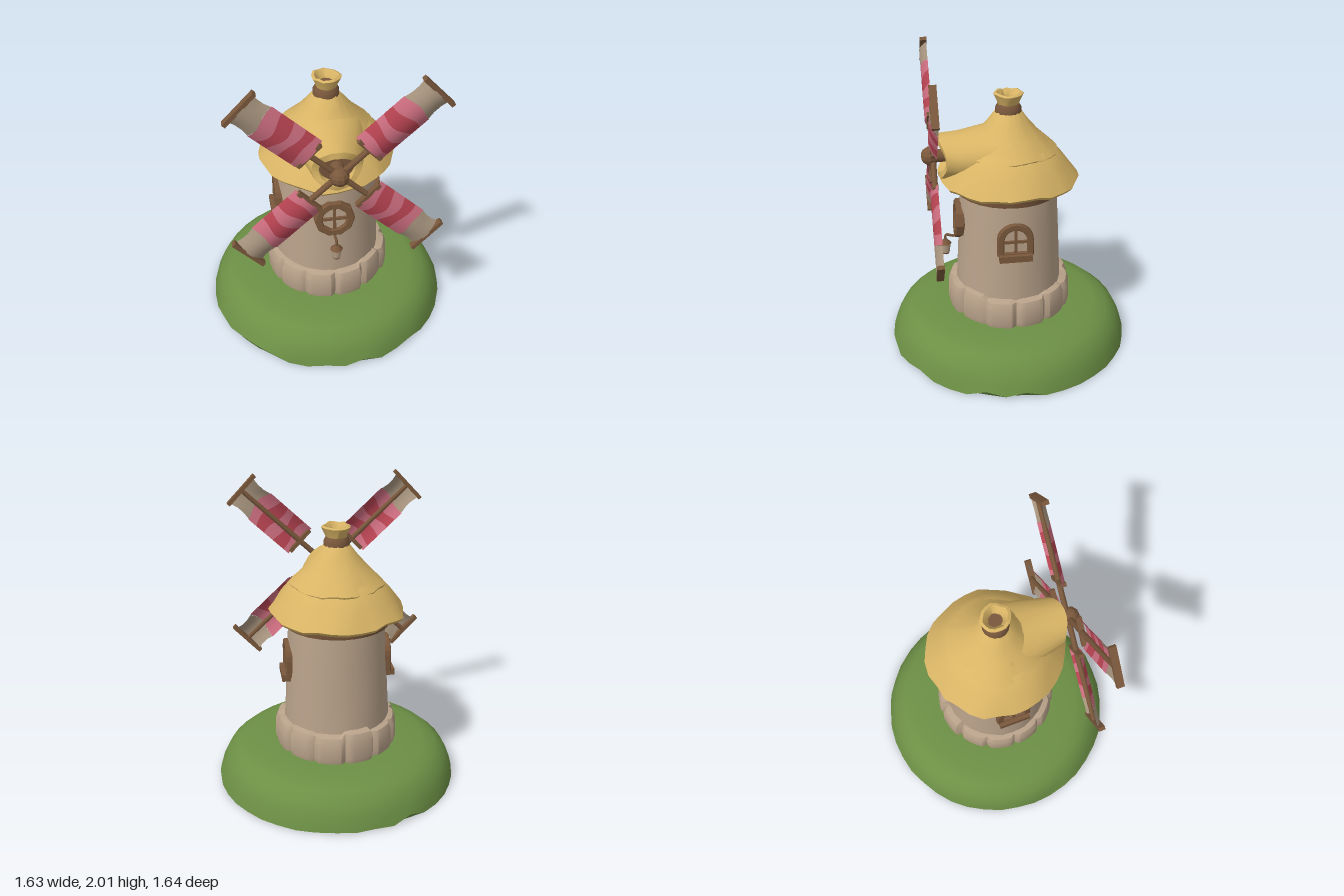
import * as THREE from 'three';
import { toCreasedNormals } from 'three/addons/utils/BufferGeometryUtils.js';

const mat = (name, color) => Object.assign(new THREE.MeshStandardMaterial({ color }), { name });

export function createModel() {
  const root = new THREE.Group();
  root.name = 'windmill';
  const grass = mat('grass', 0x6c8f45), wall = mat('plaster', 0xb9a28a), straw = mat('straw', 0xd8b465);
  const wood = mat('wood', 0x7a583c), pink = mat('pinkCloth', 0xcd6e80), red = mat('redCloth', 0xb84452);
  const canvas = mat('canvas', 0xa8957f);
  for (const m of [pink, red, canvas]) m.side = THREE.DoubleSide;

  const add = (name, geo, material, parent = root, x = 0, y = 0, z = 0) => {
    const m = new THREE.Mesh(geo, material);
    m.name = name;
    m.position.set(x, y, z);
    parent.add(m);
    return m;
  };
  // repeatable value from 0 to 1
  const rnd = i => { const s = Math.sin(i * 127.1 + 11.3) * 43758.5453; return s - Math.floor(s); };

  // grid surface from point(i, j); wraps around i when closed
  const loft = (nu, nv, point, closed = true, crease = 0.7) => {
    const pos = [], idx = [], cols = closed ? nu : nu + 1;
    for (let j = 0; j <= nv; j++) for (let i = 0; i < cols; i++) pos.push(...point(i, j));
    for (let j = 0; j < nv; j++) for (let i = 0; i < nu; i++) {
      const k = (i + 1) % cols, a = j * cols + i, b = j * cols + k, c = a + cols, d = b + cols;
      idx.push(a, b, d, a, d, c);
    }
    const g = new THREE.BufferGeometry();
    g.setAttribute('position', new THREE.Float32BufferAttribute(pos, 3));
    g.setIndex(idx);
    g.computeVertexNormals();
    return crease ? toCreasedNormals(g, crease) : g;
  };
  // turned surface, profile [radius, y] from bottom to top, with a wobble rule returning [dr, dy]
  const turned = (n, profile, wobble = () => [0, 0], crease = 0.7) =>
    loft(n, profile.length - 1, (i, j) => {
      const a = i / n * Math.PI * 2, [dr, dy] = wobble(i, j), r = Math.max(0, profile[j][0] + dr);
      return [r * Math.sin(a), profile[j][1] + dy, r * Math.cos(a)];
    }, true, crease);

  // grassy mound with a ragged, undercut rim
  add('mound', turned(40,
    [[0, 0], [0.79, 0], [0.82, 0.0], [0.795, 0.09], [0.755, 0.17], [0.69, 0.225], [0.6, 0.252], [0.4, 0.26], [0, 0.26]],
    (i, j) => j === 2 ? [-0.008 * rnd(i + 5), 0.055 * Math.max(0, rnd(i) - 0.45) / 0.55] : [0, 0]), grass);

  // tower and foundation stones
  add('tower', turned(28, [[0.365, 0.25], [0.357, 0.45], [0.345, 0.65], [0.333, 0.9], [0.32, 1.14]],
    (i, j) => [(rnd(i * 5 + j) - 0.5) * 0.006, 0]), wall);
  const per = 7, blocks = 12;
  add('foundationStones', turned(per * blocks,
    [[0.405, 0.25], [0.415, 0.29], [0.412, 0.41], [0.395, 0.45], [0.33, 0.465]],
    (i, j) => {
      const b = Math.floor(i / per), groove = i % per === 0;
      return [(groove ? -0.022 : 0) + (rnd(b + 40) - 0.5) * 0.018, j > 1 ? (rnd(b + 70) - 0.5) * 0.035 : 0];
    }), wall);

  // roof: wooden band, two thatch layers, binding and tuft
  add('roofBand', turned(28, [[0.3, 1.12], [0.352, 1.12], [0.368, 1.22], [0.3, 1.24]]), wood);
  const ragged = amp => (i, j) => j === 1 || j === 2
    ? [(rnd(i * 3) - 0.5) * amp, (rnd(i * 7 + 2) - 0.5) * amp] : [(rnd(i * 9 + j) - 0.5) * 0.008, 0];
  add('lowerThatch', turned(30,
    [[0.33, 1.23], [0.435, 1.185], [0.45, 1.205], [0.37, 1.315], [0.28, 1.42], [0.2, 1.46]], ragged(0.028)), straw);
  add('upperThatch', turned(28,
    [[0.26, 1.4], [0.306, 1.375], [0.312, 1.392], [0.2, 1.5], [0.135, 1.575], [0.075, 1.655], [0.05, 1.67]], ragged(0.018)), straw);
  add('thatchBinding', turned(16, [[0.06, 1.63], [0.085, 1.64], [0.084, 1.67], [0.07, 1.695], [0.04, 1.7]]), wood);
  add('thatchTuft', turned(16,
    [[0.06, 1.68], [0.072, 1.71], [0.096, 1.765], [0.078, 1.772], [0.05, 1.74], [0.042, 1.71]],
    (i, j) => j > 0 && j < 5 ? [(rnd(i) - 0.5) * 0.014, j > 1 ? (rnd(i + 9) - 0.5) * 0.014 : 0] : [0, 0]), straw);
  add('tuftHollow', new THREE.CylinderGeometry(0.05, 0.05, 0.01, 14), wood, root, 0, 1.715, 0);

  // thatched hood around the sail axle: [z, centre y, half width, half height]
  const hood = [[0.02, 1.4, 0.25, 0.17], [0.2, 1.37, 0.215, 0.165], [0.34, 1.36, 0.18, 0.15],
    [0.41, 1.36, 0.16, 0.142], [0.415, 1.355, 0.115, 0.105], [0.33, 1.35, 0.09, 0.08]];
  add('hood', loft(24, 5, (i, j) => {
    const t = i / 24 * Math.PI * 2, [z, cy, rx, ry] = hood[j], s = Math.sin(t);
    const w = j > 1 && j < 5 ? 1 + (rnd(i + 3) - 0.5) * 0.06 : 1;
    return [rx * w * Math.cos(t), cy + ry * w * s, z + (j === 3 || j === 4 ? 0.05 * s * s : 0)];
  }), straw);
  add('axlePlate', new THREE.CylinderGeometry(0.11, 0.11, 0.02, 16).rotateX(Math.PI / 2), wood, root, 0, 1.35, 0.39);

  // sails turning on the hub
  const rotor = new THREE.Group();
  rotor.name = 'rotor';
  rotor.position.set(0, 1.36, 0.5);
  root.add(rotor);
  add('axle', new THREE.CylinderGeometry(0.042, 0.045, 0.22, 10).rotateX(Math.PI / 2), wood, rotor, 0, 0, -0.08);
  add('hub', toCreasedNormals(new THREE.SphereGeometry(0.062, 10, 7), 0.3), wood, rotor, 0, 0, 0.008);

  const cuts = [0.25, 0.31, 0.39, 0.465, 0.55, 0.635, 0.78];
  const colours = [pink, red, pink, red, pink, canvas];
  const makeSail = (angle, n) => {
    const sail = new THREE.Group();
    sail.name = 'sail';
    sail.rotation.z = angle;
    rotor.add(sail);
    add('spar', new THREE.CylinderGeometry(0.015, 0.02, 0.78, 8), wood, sail, 0, 0.4, -0.008);
    add('tipBar', new THREE.BoxGeometry(0.265, 0.026, 0.045), wood, sail, 0, 0.787, 0);
    add('innerBar', new THREE.BoxGeometry(0.2, 0.026, 0.036), wood, sail, 0, 0.25, -0.006);
    // billowing cloth cut into wavy stripes
    colours.forEach((c, k) => add(c.name, loft(10, 3, (i, j) => {
      const u = i / 5 - 1, v = j / 3;
      const edge = e => cuts[e] + (e > 0 && e < 6 ? 0.016 * Math.sin(u * 2.6 + e * 1.3 + n * 1.7) : 0);
      const half = c === canvas ? 0.114 - 0.012 * Math.sin(v * Math.PI) : 0.118;
      return [u * half, THREE.MathUtils.lerp(edge(k), edge(k + 1), v), -0.02 + 0.046 * (1 - u * u)];
    }, false, 0), c, sail));
  };
  [1, -1].forEach((side, s) => {
    makeSail(side * 0.815, s);
    makeSail(side * (Math.PI - 0.815), s + 2);
  });

  // round front window
  const front = new THREE.Group();
  front.name = 'roundWindow';
  front.position.set(0, 0.9, 0.343);
  front.rotation.x = -0.06;
  root.add(front);
  const ring = new THREE.Shape().absarc(0, 0, 0.127, 0, Math.PI * 2);
  ring.holes.push(new THREE.Path().absarc(0, 0, 0.09, 0, Math.PI * 2));
  const bevel = { bevelEnabled: true, bevelSize: 0.006, bevelThickness: 0.006, bevelSegments: 1, curveSegments: 5 };
  add('roundFrame', new THREE.ExtrudeGeometry(ring, { ...bevel, depth: 0.045 }), wood, front, 0, 0, -0.03);
  const cross = (parent, h, w, y = 0) => {
    add('uprightBar', new THREE.BoxGeometry(0.018, h, 0.02), wood, parent, 0, y, 0.004);
    add('crossBar', new THREE.BoxGeometry(w, 0.018, 0.02), wood, parent, 0, y, 0.004);
  };
  cross(front, 0.19, 0.19);
  add('roundPane', new THREE.CylinderGeometry(0.095, 0.095, 0.008, 16).rotateX(Math.PI / 2), wall, front, 0, 0, -0.006);

  // arched windows on both sides
  const arch = (shape, w, bottom, top) => {
    shape.moveTo(-w, bottom);
    shape.lineTo(w, bottom);
    shape.lineTo(w, top);
    shape.absarc(0, top, w, 0, Math.PI);
    shape.closePath();
    return shape;
  };
  for (const side of [1, -1]) {
    const g = new THREE.Group();
    g.name = 'archedWindow';
    g.position.set(side * 0.337, 0.87, 0);
    g.rotation.y = side * Math.PI / 2;
    root.add(g);
    const frame = arch(new THREE.Shape(), 0.112, -0.09, 0.015);
    frame.holes.push(arch(new THREE.Path(), 0.08, -0.075, 0.015));
    add('archFrame', new THREE.ExtrudeGeometry(frame, { ...bevel, depth: 0.045 }), wood, g, 0, 0, -0.035);
    add('archPane', new THREE.ExtrudeGeometry(arch(new THREE.Shape(), 0.085, -0.08, 0.015),
      { depth: 0.008, bevelEnabled: false, curveSegments: 6 }), wall, g, 0, 0, -0.008);
    cross(g, 0.18, 0.165, 0.005);
    add('sill', new THREE.BoxGeometry(0.215, 0.045, 0.075), wood, g, 0, -0.105, 0.005);
  }

  // hanging lantern below the round window
  const arm = new THREE.CatmullRomCurve3([[0.77, 0.33], [0.765, 0.38], [0.775, 0.425], [0.73, 0.43]]
    .map(([y, z]) => new THREE.Vector3(0, y, z)));
  add('lanternArm', new THREE.TubeGeometry(arm, 12, 0.009, 6), wood);
  add('lanternCap', new THREE.CylinderGeometry(0.014, 0.042, 0.03, 8), wood, root, 0, 0.727, 0.43);
  add('lanternBody', new THREE.CylinderGeometry(0.036, 0.026, 0.07, 8), wall, root, 0, 0.678, 0.43);
  add('lanternBase', new THREE.CylinderGeometry(0.027, 0.024, 0.01, 8), wood, root, 0, 0.641, 0.43);

  return root;
}
